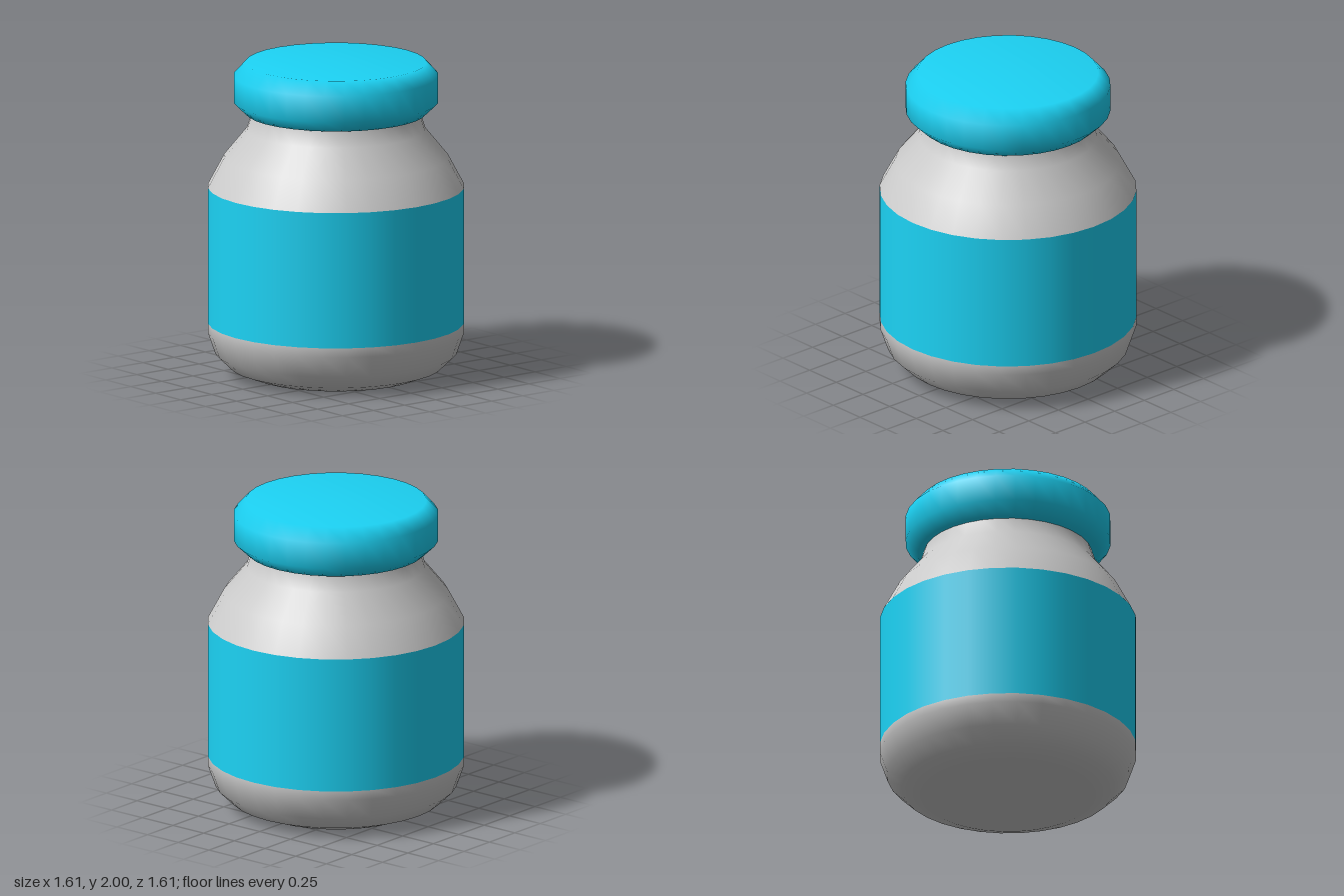
import * as THREE from 'three';

const SIDES = 32;

// Spin a [radius, height] profile, listed bottom to top, around the y axis
function turned(name, profile, color) {
  const points = profile.map(([r, y]) => new THREE.Vector2(r, y));
  const mesh = new THREE.Mesh(
    new THREE.LatheGeometry(points, SIDES),
    new THREE.MeshStandardMaterial({ color })
  );
  mesh.name = name;
  return mesh;
}

export function createModel() {
  const grey = 0xcccccc, cyan = 0x1cd3f5;
  const radius = 0.807, labelBottom = 0.335, labelTop = 1.204;
  const jar = new THREE.Group();
  jar.name = 'jar';

  jar.add(
    // Rounded base with a closed underside
    turned('jarBase', [[0, 0], [0.535, 0], [0.667, 0.05], [0.76, 0.14], [radius, 0.276], [radius, labelBottom]], grey),
    // Label band, flush with the jar wall
    turned('label', [[radius, labelBottom], [radius, labelTop]], cyan),
    // Shoulder and neck, running up into the lid
    turned('shoulder', [[radius, labelTop], [0.705, 1.395], [0.562, 1.57], [0.528, 1.676], [0.528, 1.7]], grey),
    // Bevelled lid, closed above and below
    turned('lid', [[0, 1.676], [0.566, 1.676], [0.644, 1.75], [0.644, 1.917], [0.568, 2], [0, 2]], cyan)
  );
  return jar;
}
